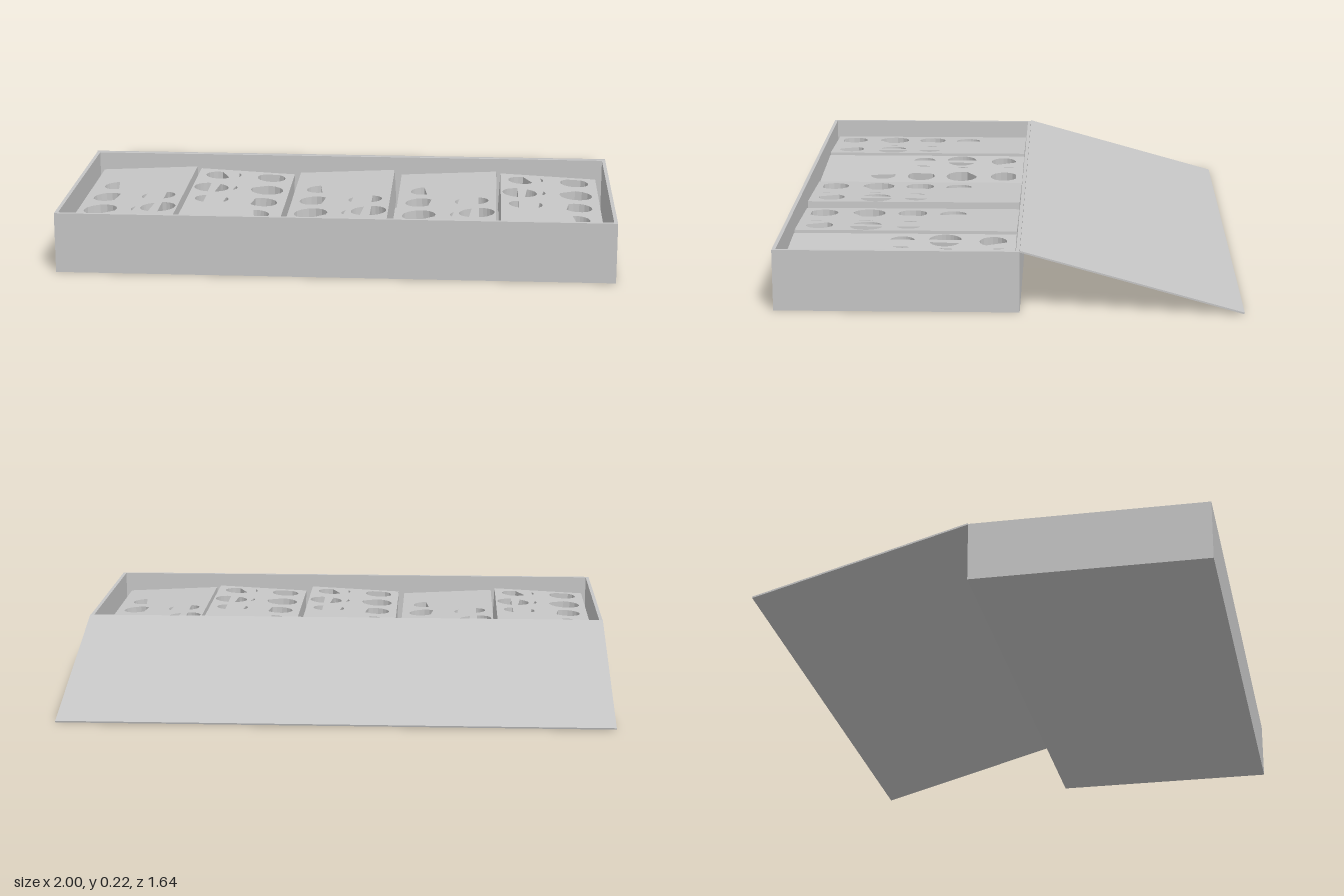
import * as THREE from 'three';

const grey = new THREE.MeshStandardMaterial({ color: 0xc6c6c6 });
grey.name = 'cardboardGrey';

// Rectangle centred on the origin, as a Shape or a hole Path
function rect(Type, w, h) {
  const p = new Type();
  p.moveTo(-w / 2, -h / 2);
  p.lineTo(w / 2, -h / 2);
  p.lineTo(w / 2, h / 2);
  p.lineTo(-w / 2, h / 2);
  p.closePath();
  return p;
}

// Flat shape raised upwards; shape y points to -z
function raise(shape, height) {
  const g = new THREE.ExtrudeGeometry(shape, { depth: height, bevelEnabled: false, curveSegments: 8 });
  return g.rotateX(-Math.PI / 2);
}

function add(parent, name, geometry, x = 0, y = 0, z = 0) {
  const mesh = new THREE.Mesh(geometry, grey);
  mesh.name = name;
  mesh.position.set(x, y, z);
  parent.add(mesh);
  return mesh;
}

// Pocket outline: a circle segment between two angles, closed by a chord
function pocket(x, z, r, from, to) {
  const pts = [];
  for (let i = 0; i <= 12; i++) {
    const a = THREE.MathUtils.degToRad(from + (to - from) * i / 12);
    pts.push(new THREE.Vector2(x + r * Math.cos(a), -z + r * Math.sin(a)));
  }
  return new THREE.Path(pts);
}

// x, z, radius, start and end angle of every sunken pocket
const POCKETS = [
  [-0.09, -0.16, 0.05, 90, 285],
  [-0.1, -0.005, 0.055, 40, 305],
  [-0.1, 0.16, 0.062, -20, 270],
  [-0.1, 0.333, 0.055, -60, 240],
  [0.11, -0.005, 0.045, -80, 80],
  [0.075, 0, 0.045, 130, 220],
  [0.118, 0.15, 0.06, -88, 88],
  [0.103, 0.15, 0.055, 100, 250],
  [0.055, 0.165, 0.04, 130, 215],
  [0.105, 0.325, 0.05, -100, 150],
  [0.065, 0.34, 0.045, 150, 220],
];

function makeTray(width) {
  const tray = new THREE.Group();
  const length = 0.815;
  const sheet = rect(THREE.Shape, width, length);
  for (const p of POCKETS) sheet.holes.push(pocket(...p));
  add(tray, 'pocketSheet', raise(sheet, 0.055), 0, -0.055, 0);
  add(tray, 'trayBase', new THREE.BoxGeometry(width, 0.07, length), 0, -0.09, 0);
  return tray;
}

export function createModel() {
  const model = new THREE.Group();
  model.name = 'openCarton';

  // Carton body, open at the top
  const walls = rect(THREE.Shape, 2, 0.86);
  walls.holes.push(rect(THREE.Path, 1.974, 0.834));
  add(model, 'cartonWalls', raise(walls, 0.22), 0, 0, 0.39);
  add(model, 'cartonFloor', new THREE.BoxGeometry(1.98, 0.012, 0.84), 0, 0.006, 0.39);

  // Lid folded back, sloping down to the ground
  const lid = add(model, 'lid', new THREE.BoxGeometry(2, 0.006, 0.81), 0, 0.112, -0.43);
  lid.rotation.x = -Math.atan2(0.217, 0.78);

  // Five slightly tilted trays; some lie the other way round
  const trays = [[-0.784, 0], [-0.398, 1], [-0.005, 0], [0.392, 0], [0.778, 1]];
  trays.forEach(([x, turned], i) => {
    const tray = makeTray(0.37);
    tray.name = 'tray' + (i + 1);
    tray.position.set(x, turned ? 0.155 : 0.162, 0.388);
    tray.rotation.set(0, turned ? Math.PI : 0, 0.05);
    model.add(tray);
  });
  return model;
}
